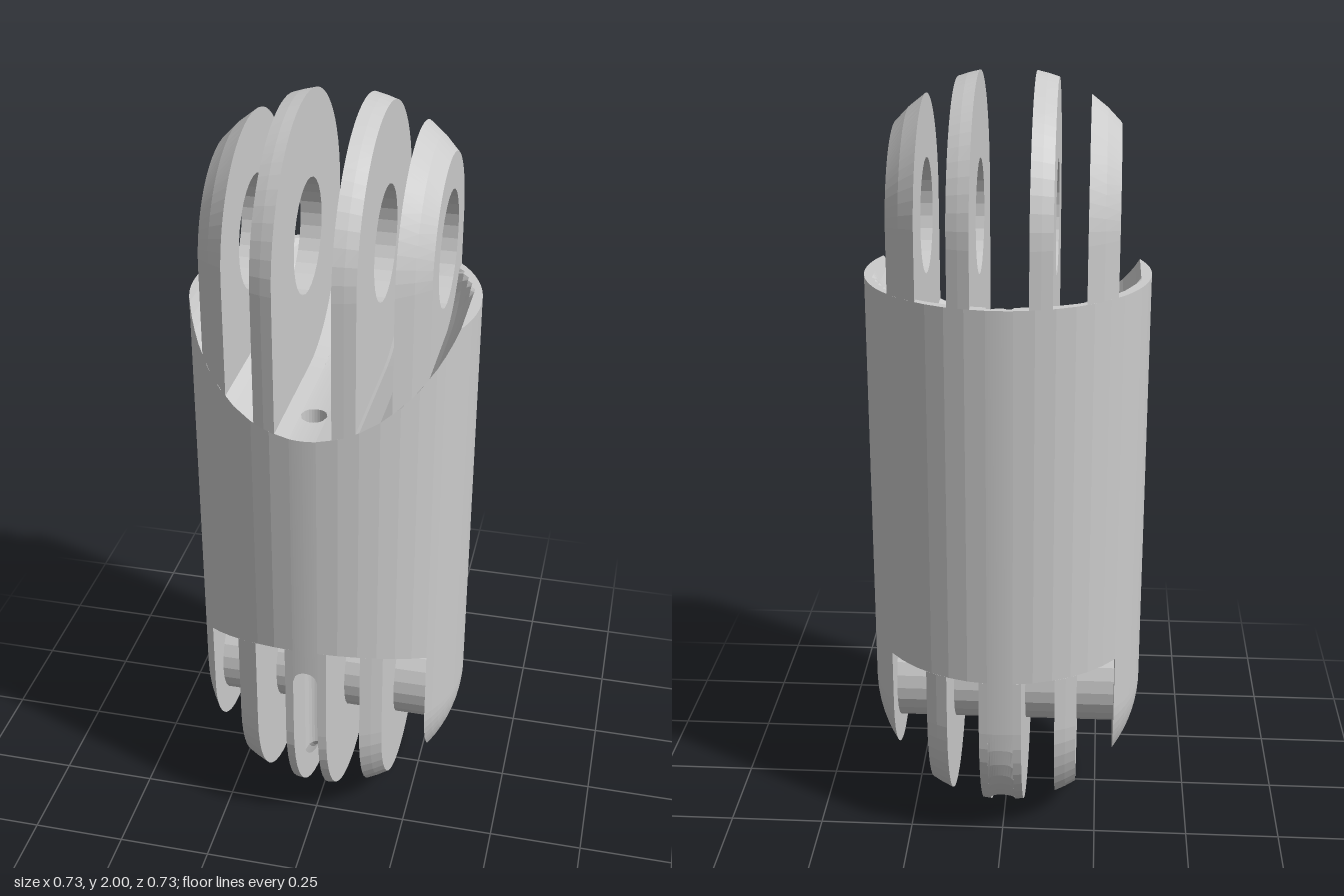
import * as THREE from 'three';

const RADIUS = 0.365;        // capsule radius
const TOP_Y = 1.64;          // upper hinge axis
const LOW_Y = 0.36;          // lower hinge axis
const HOLE = 0.145;          // hinge hole radius
const BORE = 0.033;          // cord tunnel radius
const BORE_Z = 0.24;         // cord tunnel offset

const root = (v) => Math.sqrt(Math.max(0, v));
const reach = (x) => root(RADIUS * RADIUS - x * x);          // capsule half depth at x
const arc = (x, z) => root(RADIUS * RADIUS - x * x - z * z); // hemisphere height
const bore = (x) => root(BORE * BORE - x * x);

// Dome outlines, and the cups that give the neighbouring segment room to swing
const domeTop = (x, z) => TOP_Y + arc(x, z);
const domeLow = (x, z) => LOW_Y - arc(x, z);
const cupTop = (x, z) => Math.min(1.5, TOP_Y - (z > 0 ? reach(x) : arc(x, z)));
const cupLow = (x, z) => Math.max(LOW_Y + arc(x, z), z > 0 ? 0.55 + 0.55 * (z - 0.2) : 0.51);

const material = new THREE.MeshStandardMaterial({
  color: 0xcccccc, flatShading: true, side: THREE.DoubleSide,
});

// Closed solid between x0 and x1: spans z0(x)..z1(x) in depth and bot..top in height
function slab(x0, x1, z0, z1, bot, top, nx = 0, nz = 24) {
  const a0 = Math.asin(x0 / RADIUS), a1 = Math.asin(x1 / RADIUS);
  const steps = nx || Math.max(1, Math.ceil((a1 - a0) / 0.16));
  const pos = [], index = [], n = nz + 1, ring = 2 * n;
  for (let i = 0; i <= steps; i++) {
    const x = RADIUS * Math.sin(a0 + (a1 - a0) * i / steps);
    const zs = [];
    for (let k = 0; k <= nz; k++) {
      const t = (1 - Math.cos(Math.PI * k / nz)) / 2;
      zs.push(z0(x) + (z1(x) - z0(x)) * t);
    }
    zs.forEach((z) => pos.push(x, bot(x, z), z));
    zs.reverse().forEach((z) => pos.push(x, top(x, z), z));
  }
  // outer skin
  for (let i = 0; i < steps; i++) {
    for (let k = 0; k < ring; k++) {
      const a = i * ring + k, b = i * ring + (k + 1) % ring;
      index.push(a, a + ring, b + ring, a, b + ring, b);
    }
  }
  // flat ends
  const last = steps * ring;
  for (let k = 0; k < nz; k++) {
    const p = k, q = k + 1, r = ring - 2 - k, s = ring - 1 - k;
    index.push(p, r, s, p, q, r);
    index.push(last + p, last + s, last + r, last + p, last + r, last + q);
  }
  const g = new THREE.BufferGeometry();
  g.setAttribute('position', new THREE.Float32BufferAttribute(pos, 3));
  g.setIndex(index);
  const flat = g.toNonIndexed();
  flat.computeVertexNormals();
  return flat;
}

export function createModel() {
  const model = new THREE.Group();
  const part = (name) => {
    const g = new THREE.Group();
    g.name = name;
    model.add(g);
    return g;
  };
  const add = (group, name, geometry) => {
    const m = new THREE.Mesh(geometry, material);
    m.name = name;
    group.add(m);
    return m;
  };
  const back = (x) => -reach(x), front = reach;
  const at = (v) => () => v;
  // same slab on both sides of the middle
  const pair = (group, name, x0, x1, ...rest) => {
    add(group, name + 'Left', slab(x0, x1, ...rest));
    add(group, name + 'Right', slab(-x1, -x0, ...rest));
  };

  // Barrel, with its side ears running down over the lower hinge
  const body = part('body');
  pair(body, 'barrel', BORE, 0.295, back, front, cupLow, cupTop);
  pair(body, 'ear', 0.295, RADIUS, back, front, domeLow, cupTop, 8);

  // Middle strip, split by the two vertical cord tunnels and the front cord groove
  const strip = part('cordStrip');
  const grooveFloor = (x, z) => LOW_Y - root((0.293 - bore(x)) ** 2 - z * z);
  add(strip, 'frontWall', slab(-BORE, BORE, (x) => BORE_Z + bore(x), front,
    (x) => 0.537 + bore(x), cupTop, 10, 8));
  add(strip, 'middleWall', slab(-BORE, BORE, (x) => bore(x) - BORE_Z, (x) => BORE_Z - bore(x),
    grooveFloor, cupTop, 10));
  add(strip, 'backWall', slab(-BORE, BORE, back, (x) => -BORE_Z - bore(x),
    domeLow, cupTop, 10, 8));

  // Lower fins: sides of the centre fin, then the two intermediate fins
  const lower = part('lowerFins');
  pair(lower, 'centreFin', BORE, 0.055, back, front, domeLow, cupLow);
  pair(lower, 'middleFin', 0.14, 0.195, back, front, domeLow, cupLow);

  // Upper fins, each built around the round hinge hole
  const upper = part('upperFins');
  const holeTop = (x, z) => TOP_Y + root(HOLE * HOLE - z * z);
  const holeLow = (x, z) => TOP_Y - root(HOLE * HOLE - z * z);
  for (const [name, x0, x1] of [['innerFin', 0.07, 0.125], ['outerFin', 0.205, 0.28]]) {
    pair(upper, name + 'Back', x0, x1, back, at(-HOLE), cupTop, domeTop, 2, 14);
    pair(upper, name + 'Crown', x0, x1, at(-HOLE), at(HOLE), holeTop, domeTop, 2, 14);
    pair(upper, name + 'Root', x0, x1, at(-HOLE), at(HOLE), cupTop, holeLow, 2, 14);
    pair(upper, name + 'Front', x0, x1, at(HOLE), front, cupTop, domeTop, 2, 14);
  }

  // Hinge pin between the ears
  const pin = add(model, 'hingePin', new THREE.CylinderGeometry(0.14, 0.14, 0.6, 24));
  pin.rotation.z = Math.PI / 2;
  pin.position.y = LOW_Y;

  return model;
}
